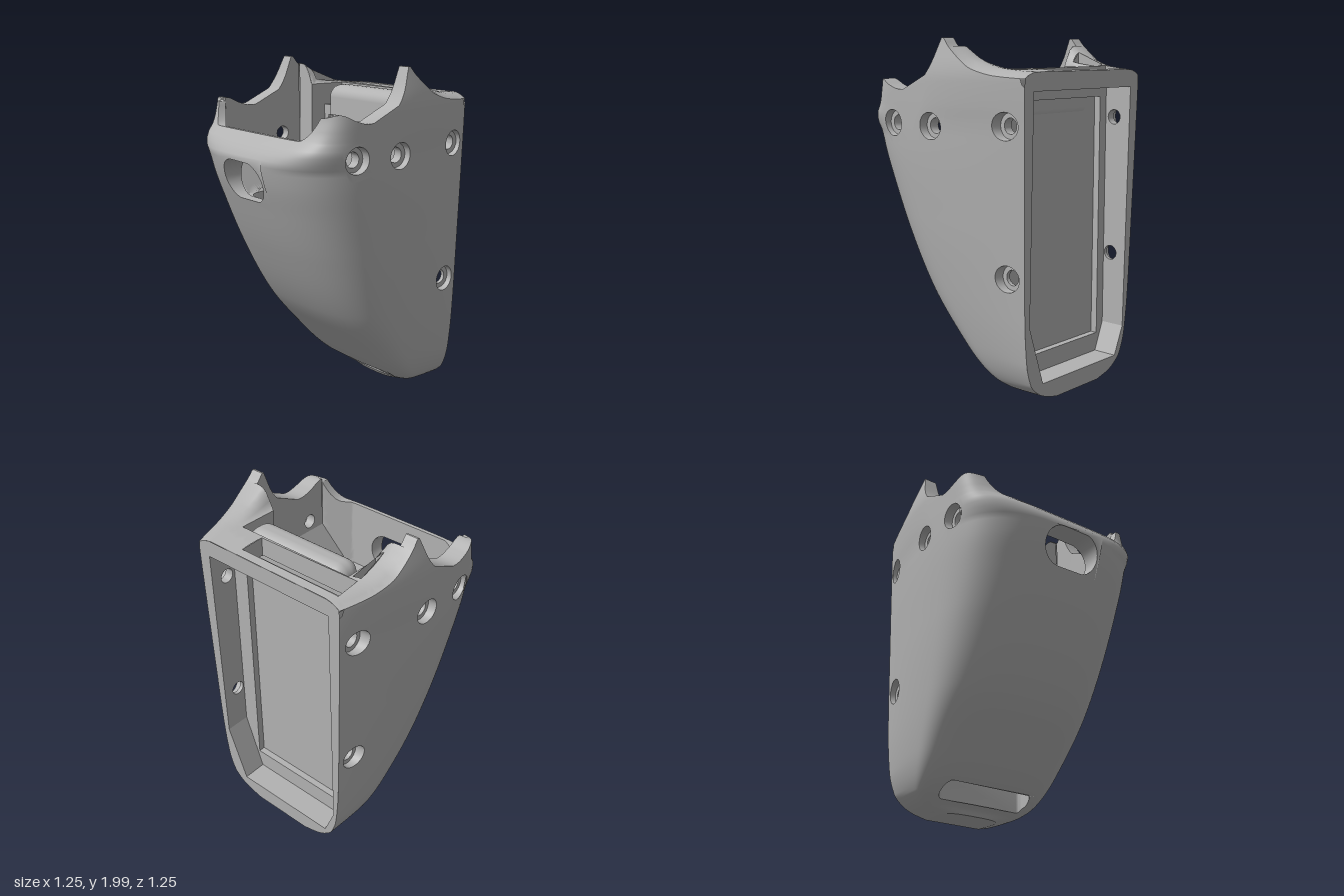
import * as THREE from 'three';
import { toCreasedNormals } from 'three/addons/utils/BufferGeometryUtils.js';
import { RoundedBoxGeometry } from 'three/addons/geometries/RoundedBoxGeometry.js';

const V2 = (x, y) => new THREE.Vector2(x, y);
const V3 = (x, y, z) => new THREE.Vector3(x, y, z);
const clamp = (v, a = 0, b = 1) => Math.min(b, Math.max(a, v));

// Smooth monotone curve through [key, value] rows
function curve(...rows) {
  const d = rows.slice(1).map((r, i) => (r[1] - rows[i][1]) / (r[0] - rows[i][0]));
  const m = rows.map((r, i) => {
    const a = d[Math.max(0, i - 1)], b = d[Math.min(d.length - 1, i)];
    return a * b <= 0 ? 0 : 2 * a * b / (a + b);
  });
  return (x) => {
    x = clamp(x, rows[0][0], rows[rows.length - 1][0]);
    let i = 0;
    while (i < rows.length - 2 && x > rows[i + 1][0]) i++;
    const h = rows[i + 1][0] - rows[i][0], t = (x - rows[i][0]) / h, u = 1 - t;
    return rows[i][1] * (1 + 2 * t) * u * u + m[i] * h * t * u * u
      + rows[i + 1][1] * t * t * (3 - 2 * t) - m[i + 1] * h * t * t * u;
  };
}

// Body proportions by height: front z, widest half-width, back half-width, squareness
const front = curve([0.004, -0.36], [0.03, -0.34], [0.06, -0.29], [0.14, -0.17], [0.3, -0.01], [0.58, 0.225],
  [0.93, 0.415], [1.2, 0.53], [1.4, 0.603], [1.49, 0.622], [1.55, 0.59], [1.63, 0.5], [1.68, 0.468], [1.75, 0.445], [2, 0.42]);
const wide = curve([0.004, 0.2], [0.03, 0.3], [0.06, 0.36], [0.1, 0.405], [0.2, 0.452], [0.3, 0.478],
  [0.6, 0.53], [1, 0.58], [1.5, 0.62], [1.77, 0.625], [2, 0.59]);
const backWide = curve([0.004, 0.19], [0.03, 0.29], [0.06, 0.35], [0.12, 0.41], [0.25, 0.45], [0.5, 0.472],
  [1, 0.487], [1.5, 0.5], [1.77, 0.505], [2, 0.48]);
const square = curve([0, 3], [1.45, 2.8], [1.75, 7], [2, 7]);
const back = (y) => -0.595 - 0.016 * y;
const middle = (y) => front(y) - 0.42 * (front(y) - back(y));

// Side edge height by z, and the scooped front edge
const sideTop = curve([-0.63, 1.82], [-0.45, 1.835], [-0.3, 1.875], [-0.2, 1.93], [-0.15, 1.965], [-0.11, 2], [-0.08, 1.93],
  [-0.05, 1.86], [0, 1.79], [0.1, 1.725], [0.2, 1.715], [0.28, 1.735], [0.37, 1.77], [0.43, 1.75]);
const drop = (z) => 0.035 * clamp((-0.11 - z) / 0.2);
const edgeTop = (x, z) => {
  const side = sideTop(z) - drop(z), ax = Math.abs(x);
  return ax > 0.51 ? side : Math.min(side, 1.625 + 0.13 * clamp((ax - 0.4) / 0.11) ** 2);
};

// Outer section: p = 0 is the front centre, p = +-1 the back corners
const sideX = (t, y) => backWide(y) + (wide(y) - backWide(y)) * (1 - (1 - t) ** 1.7);
function outer(p, y) {
  const a = 1 - Math.abs(p), s = Math.sign(p), m = middle(y);
  if (a < 0.5) return V3(s * sideX(2 * a, y), y, back(y) + (m - back(y)) * 2 * a);
  const th = (a - 0.5) * Math.PI, e = 2 / square(y);
  return V3(s * wide(y) * Math.max(0, Math.cos(th)) ** e, y, m + (front(y) - m) * Math.sin(th) ** e);
}
const NP = 200, NV = 100, Q0 = Math.sqrt(0.002), Q1 = Math.sqrt(1.618 / 2), SPLIT = 0.85;
const rims = Array.from({ length: NP + 1 }, (_, i) => {
  const p = -1 + 2 * i / NP, above = (y) => { const o = outer(p, y); return y >= edgeTop(o.x, o.z); };
  let y = 1.5;
  while (y < 2 && !above(y)) y += 0.005;
  let lo = y - 0.005, hi = y;
  for (let k = 0; k < 12; k++) { const m = (lo + hi) / 2; if (above(m)) hi = m; else lo = m; }
  return hi;
});
const rimAt = (p) => {
  const f = clamp((p + 1) * NP / 2, 0, NP), i = Math.min(NP - 1, Math.floor(f));
  return rims[i] + (rims[i + 1] - rims[i]) * (f - i);
};
// Level rows up to the openings' tops, then rows that rise to meet the rim
const shellMap = (p, v) => {
  const q = v < SPLIT ? Q0 + (Q1 - Q0) * v / SPLIT : Q1 + (Math.sqrt(rimAt(p) / 2) - Q1) * (v - SPLIT) / (1 - SPLIT);
  return outer(p, 2 * q * q);
};
const toPV = (p, y) => V2(p, SPLIT * (Math.sqrt(y / 2) - Q0) / (Q1 - Q0));
const solve = (y, ok) => {
  let lo = 0, hi = 1;
  for (let k = 0; k < 26; k++) { const m = (lo + hi) / 2; if (ok(outer(1 - m, y))) lo = m; else hi = m; }
  return 1 - lo;
};

// Flat triangles laid on a mapped surface, with normals from the map
function drape(tris, map) {
  const pos = [], nor = [], e = 0.003;
  for (let [a, b, c] of tris) {
    if ((b.x - a.x) * (c.y - a.y) < (b.y - a.y) * (c.x - a.x)) [b, c] = [c, b];
    for (const q of [a, b, c]) {
      const du = map(q.x + e, q.y).sub(map(q.x - e, q.y)), dv = map(q.x, q.y + e).sub(map(q.x, q.y - e));
      pos.push(...map(q.x, q.y).toArray());
      nor.push(...du.cross(dv).normalize().toArray());
    }
  }
  return new THREE.BufferGeometry().setAttribute('position', new THREE.Float32BufferAttribute(pos, 3))
    .setAttribute('normal', new THREE.Float32BufferAttribute(nor, 3));
}
function fill(outline, holes = [], max = 9) {
  const pts = [outline, ...holes].flat(), done = [];
  const todo = THREE.ShapeUtils.triangulateShape(outline, holes).map((f) => f.map((i) => pts[i]));
  while (todo.length) {
    const t = todo.pop(), len = t.map((q, i) => q.distanceTo(t[(i + 1) % 3])), L = Math.max(...len);
    if (L < max) { done.push(t); continue; }
    const i = len.indexOf(L), a = t[i], b = t[(i + 1) % 3], c = t[(i + 2) % 3], m = a.clone().add(b).multiplyScalar(0.5);
    todo.push([a, m, c], [m, b, c]);
  }
  return done;
}
const patch = (outline, holes, map, max) => drape(fill(outline, holes, max), map);

// Skin between successive rows of points
function loft(rows, closed = true) {
  const n = rows[0].length, idx = [];
  for (let r = 0; r < rows.length - 1; r++) for (let i = 0; i < (closed ? n : n - 1); i++) {
    const a = r * n + i, b = r * n + (i + 1) % n;
    idx.push(a, b, a + n, b, b + n, a + n);
  }
  const g = new THREE.BufferGeometry().setFromPoints(rows.flat());
  g.setIndex(idx);
  return toCreasedNormals(g, 0.6);
}
const ring = (cx, cy, r, n = 28) => Array.from({ length: n }, (_, i) =>
  V2(cx + r * Math.cos(i / n * 2 * Math.PI), cy + r * Math.sin(i / n * 2 * Math.PI)));
const capsule = (hw, cy, r) => ring(0, cy, r, 32).map((q, i) => V2(q.x + (i < 8 || i > 24 ? 1 : -1) * (hw - r), q.y));
const rect = (x0, x1, y0, y1) => [V2(x0, y0), V2(x1, y0), V2(x1, y1), V2(x0, y1)];

export function createModel() {
  const model = new THREE.Group();
  const grey = new THREE.MeshStandardMaterial({ name: 'plain grey', color: 0xb2b2b2, side: THREE.DoubleSide });
  const add = (name, g) => { const m = new THREE.Mesh(g, grey); m.name = name; model.add(m); return m; };
  const FLOOR = 1.2, SHOULDER = -0.17, IN = 0.51, CAV = 0.38, LEDGE = -0.45;
  const pocketZ = (x) => 0.48 - 0.1 * clamp((Math.abs(x) - 0.35) / 0.16);
  const ledgeY = (x) => FLOOR + 2 * Math.max(0, Math.abs(x) - CAV);

  // Openings in the shell: screw holes, front window, bottom slot
  const screws = [[0.265, 1.525, IN], [-0.035, 1.522, IN], [-0.51, 1.54, 0.43], [-0.5, 0.72, 0.43]];
  const openings = [];
  for (const s of [-1, 1]) for (const [z, y, inner] of screws) {
    const loop = ring(z, y, 0.075).map((c) => toPV(s * solve(c.y, (o) => o.z < c.x), c.y));
    openings.push(loop);
    const top = loop.map((q) => shellMap(q.x, q.y));
    const seat = Math.abs(top[7].x) - 0.05;
    const at = (r, x) => ring(z, y, r).map((c) => V3(s * x, c.y, c.x));
    add('screwHole', loft([top, at(0.07, seat), at(0.043, seat), at(0.043, inner)]));
  }
  const frontWindow = capsule(0.19, 1.365, 0.115), slot = capsule(0.3, 0.0975, 0.04);
  for (const [name, shape, end] of [['windowTunnel', frontWindow, (o) => V3(o.x, o.y, 0.48)], ['slotTunnel', slot, (o) => V3(o.x, 0.2, o.z)]]) {
    const loop = shape.map((c) => toPV((Math.sign(c.x) || 1) * solve(c.y, (o) => o.x > Math.abs(c.x)), c.y));
    openings.push(loop);
    const top = loop.map((q) => shellMap(q.x, q.y));
    add(name, loft([top, top.map(end)]));
  }

  // Outer shell: regular grid, with a fitted patch around each opening
  const G = (i, j) => V2(-1 + 2 * i / NP, j / NV), tris = [];
  const boxes = openings.map((loop) => {
    const is = loop.map((q) => (q.x + 1) * NP / 2), js = loop.map((q) => q.y * NV);
    const [i0, j0] = [is, js].map((l) => Math.max(0, Math.floor(Math.min(...l) - 0.3)));
    const [i1, j1] = [is, js].map((l) => Math.ceil(Math.max(...l) + 0.1));
    const edge = [];
    for (let i = i0; i < i1; i++) edge.push(G(i, j0));
    for (let j = j0; j < j1; j++) edge.push(G(i1, j));
    for (let i = i1; i > i0; i--) edge.push(G(i, j1));
    for (let j = j1; j > j0; j--) edge.push(G(i0, j));
    tris.push(...fill(edge, [loop]));
    return [i0, i1, j0, j1];
  });
  for (let i = 0; i < NP; i++) for (let j = 0; j < NV; j++) {
    if (boxes.some(([a, b, c, d]) => i >= a && i < b && j >= c && j < d)) continue;
    tris.push([G(i, j), G(i + 1, j), G(i + 1, j + 1)], [G(i, j), G(i + 1, j + 1), G(i, j + 1)]);
  }
  add('outerShell', drape(tris, shellMap));
  add('underside', patch(Array.from({ length: NP + 1 }, (_, i) => { const o = outer(-1 + 2 * i / NP, 0.004); return V2(o.x, o.z); }),
    [], (x, z) => V3(x, 0.004, z)));

  // Rim of the wings and front wall, and the upper pocket walls
  const rim = rims.map((y, i) => outer(-1 + 2 * i / NP, y));
  const open = rim.filter((o) => o.z >= SHOULDER);
  const inner = open.map((o) => { const x = clamp(o.x, -IN, IN); return V3(x, o.y, Math.min(o.z, pocketZ(x))); });
  add('rim', loft([open, inner], false));
  for (const s of [-1, 1]) {
    const pts = inner.filter((o) => o.x * s >= IN - 1e-6).sort((a, b) => b.z - a.z).map((o) => V2(o.z, o.y));
    add('pocketSide', patch([V2(SHOULDER, ledgeY(IN)), V2(pocketZ(IN), ledgeY(IN)), ...pts],
      screws.slice(0, 2).map(([z, y]) => ring(z, y, 0.043)), (z, y) => V3(s * IN, y, z)));
  }
  const frontPts = inner.filter((o) => Math.abs(o.x) < IN - 1e-6).map((o) => V2(o.x, o.y)).reverse();
  add('pocketFront', patch([...[-IN, -CAV, CAV, IN].map((x) => V2(x, ledgeY(x))), ...frontPts], [frontWindow],
    (x, y) => V3(x, y, pocketZ(x)), 0.06));

  // Tapering cavity that runs down to the bottom slot, with a sloping ledge round its mouth
  const cavZ = curve([0.2, -0.18], [0.3, -0.13], [0.55, 0.04], [0.93, 0.23], [FLOOR, 0.35]);
  const section = (y) => Array.from({ length: 61 }, (_, i) => {
    const a = i / 60 * Math.PI, c = Math.cos(a), w = 0.3 + (CAV - 0.3) * clamp((y - 0.2) / 0.3);
    return V3(w * Math.sign(c) * Math.abs(c) ** 0.3, y, -0.27 + (cavZ(y) + 0.27) * Math.max(0, Math.sin(a)) ** 0.3);
  });
  add('cavity', loft(Array.from({ length: 25 }, (_, i) => section(0.2 + (FLOOR - 0.2) * i / 24)), false));
  const mouth = section(FLOOR).filter((o) => o.z > SHOULDER).map((o) => V2(o.x, o.z)).reverse();
  add('ledge', patch([V2(-CAV, SHOULDER), ...mouth, V2(CAV, SHOULDER), V2(IN, SHOULDER), V2(IN, 0.38), V2(0.35, 0.48),
    V2(-0.35, 0.48), V2(-IN, 0.38), V2(-IN, SHOULDER)], [], (x, z) => V3(x, ledgeY(x), z), 0.05));

  // Rear deck with shoulders, a cable opening and a narrow channel
  const deckY = (x, z) => {
    const ax = Math.abs(x), y = sideTop(z), rimY = y - drop(z);
    const w = sideX((z - back(rimY)) / (middle(rimY) - back(rimY)), rimY);
    return y - drop(z) * clamp((ax - w + 0.1) / 0.1) ** 2 - Math.max(0, y - 1.83) * clamp((0.47 - ax) / 0.085) ** 2;
  };
  const deckMap = (x, z) => V3(x, deckY(x, z), z);
  const rear = rim.filter((o) => o.z < SHOULDER + 0.01);
  const half = (s) => rear.filter((o) => o.x * s > 0).map((o) => V2(o.x, o.z));
  const cable = rect(-0.45, 0.22, -0.57, -0.425), channel = rect(-0.455, -0.4, -0.4, -0.22);
  add('rearDeck', patch([...half(-1), V2(-CAV, SHOULDER), V2(-CAV, -0.41), V2(CAV, -0.41), V2(CAV, SHOULDER), ...half(1)],
    [cable, channel], deckMap, 0.05));
  for (const [name, loop, y] of [['cableOpening', cable, 1.72], ['channel', channel, 1.3]])
    add(name, loft([loop.map((q) => deckMap(q.x, q.y)), loop.map((q) => V3(q.x, y, q.y))]));
  add('channelFloor', patch(channel, [], (x, z) => V3(x, 1.3, z)));
  const steps = Array.from({ length: 13 }, (_, i) => i / 12);
  for (const s of [-1, 1]) {
    const zs = steps.map((t) => SHOULDER - 0.24 * t), xs = steps.map((t) => IN - (IN - CAV) * t);
    add('shoulderSide', patch([V2(-0.41, FLOOR), V2(SHOULDER, FLOOR), ...zs.map((z) => V2(z, deckY(CAV, z)))], [],
      (z, y) => V3(s * CAV, y, z)));
    add('shoulderFront', patch([V2(CAV, FLOOR), V2(IN, ledgeY(IN)), ...xs.map((x) => V2(x, deckY(x, SHOULDER)))], [],
      (x, y) => V3(s * x, y, SHOULDER)));
  }
  add('deckFront', patch(rect(-CAV, CAV, 1.6, 1.83), [], (x, y) => V3(x, y, -0.41)));
  add('roundedBar', new RoundedBoxGeometry(0.69, 0.3, 0.18, 6, 0.075)).position.set(0.02, 1.68, -0.325);
  add('bulkhead', new THREE.BoxGeometry(2 * CAV, 1.5, 0.14)).position.set(0, 0.95, -0.34);

  // Back frame and its stepped recess, chamfered at one lower corner
  const rise = Array.from({ length: 50 }, (_, i) => 0.004 + (rims[0] - 0.004) * (i / 49) ** 2).map((y) => V2(backWide(y), y));
  const roof = Array.from({ length: 20 }, (_, i) => 0.5 * (1 - i / 20)).map((x) => V2(x, deckY(x, -0.623)));
  const recess = [V2(-0.36, 0.11), V2(0.31, 0.11), V2(0.43, 0.45), V2(0.43, 1.72), V2(-0.43, 1.72), V2(-0.43, 0.28)];
  const well = rect(-0.37, 0.33, 0.22, 1.66);
  const mirror = (l) => l.map((q) => V2(-q.x, q.y)).reverse();
  add('backFrame', patch([...rise, ...roof, ...mirror(roof), ...mirror(rise)], [recess], (x, y) => V3(x, y, back(y))));
  const lower = [5, 0, 1, 2].map((i) => recess[i]);
  add('recessBottom', loft([lower.map((q) => V3(q.x, q.y, back(q.y))), lower.map((q) => V3(q.x, q.y, LEDGE))], false));
  for (const [s, y0] of [[-1, 0.28], [1, 0.45]])
    add('recessSide', patch([V2(back(y0), y0), V2(LEDGE, y0), V2(LEDGE, 1.72), V2(back(1.72), 1.72)],
      screws.slice(2).map(([z, y]) => ring(z, y, 0.043)), (z, y) => V3(s * 0.43, y, z)));
  add('recessTop', patch([V2(-0.43, -0.622), V2(0.43, -0.622), V2(0.43, LEDGE), V2(0.22, LEDGE), V2(0.22, -0.57), V2(-0.42, -0.57),
    V2(-0.42, LEDGE), V2(-0.43, LEDGE)], [], (x, z) => V3(x, 1.72, z)));
  add('recessLedge', patch(recess, [well], (x, y) => V3(x, y, LEDGE)));
  add('recessStep', loft([well.map((q) => V3(q.x, q.y, LEDGE)), well.map((q) => V3(q.x, q.y, -0.41))]));
  return model;
}
